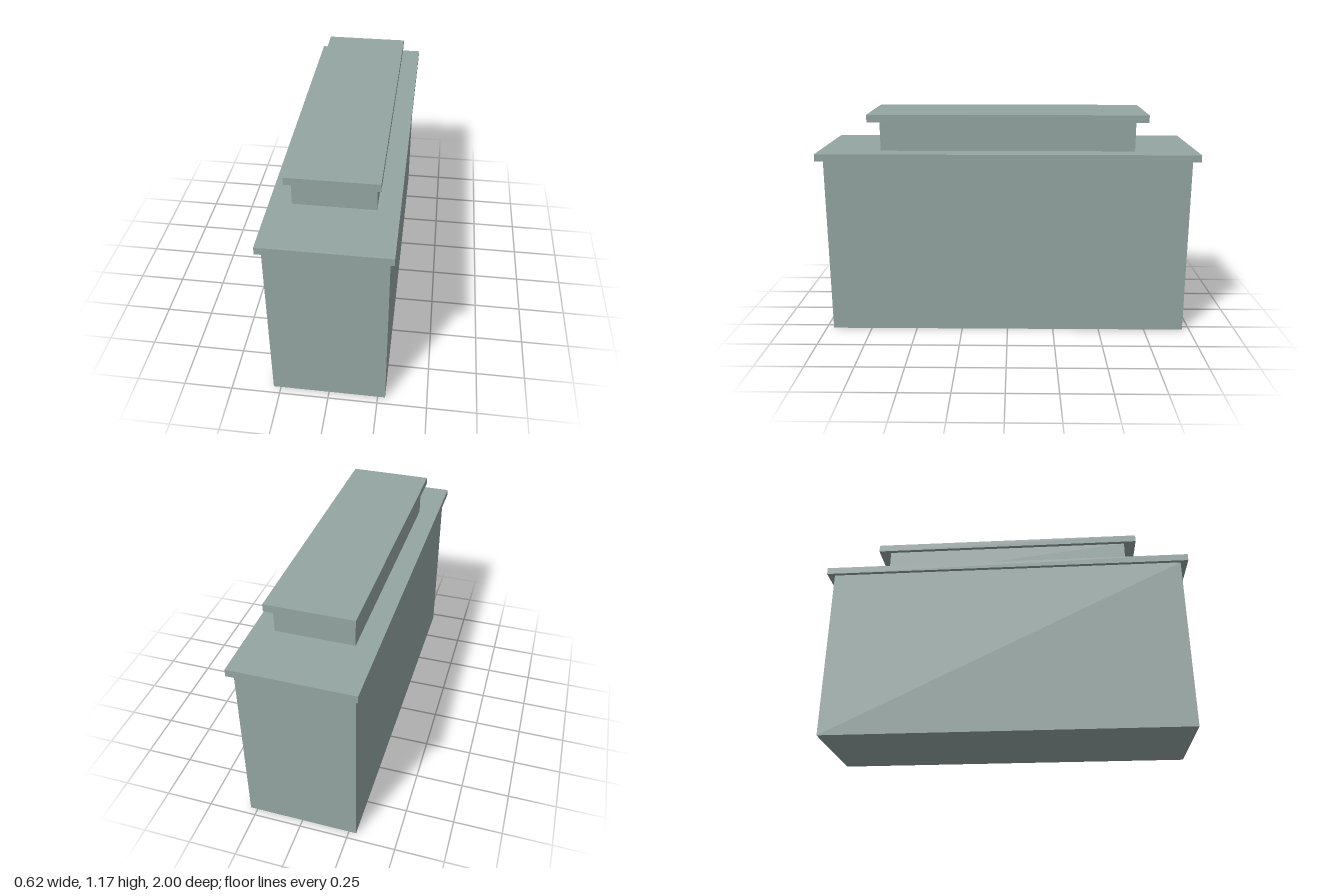
import * as THREE from 'three';

export function createModel() {
  const model = new THREE.Group();
  const stone = new THREE.MeshStandardMaterial({ color: 0x93a5a2 });
  stone.name = 'grey green stone';

  // Stacked blocks, bottom to top: name, width, depth, bottom y, top y
  const blocks = [
    ['body', 0.576, 1.922, 0, 0.941],
    ['lowerSlab', 0.617, 2, 0.941, 0.979],
    ['upperBlock', 0.4, 1.346, 0.979, 1.133],
    ['topSlab', 0.442, 1.474, 1.133, 1.172],
  ];
  for (const [name, width, depth, bottom, top] of blocks) {
    const mesh = new THREE.Mesh(new THREE.BoxGeometry(width, top - bottom, depth), stone);
    mesh.name = name;
    mesh.position.y = (bottom + top) / 2;
    model.add(mesh);
  }
  return model;
}
